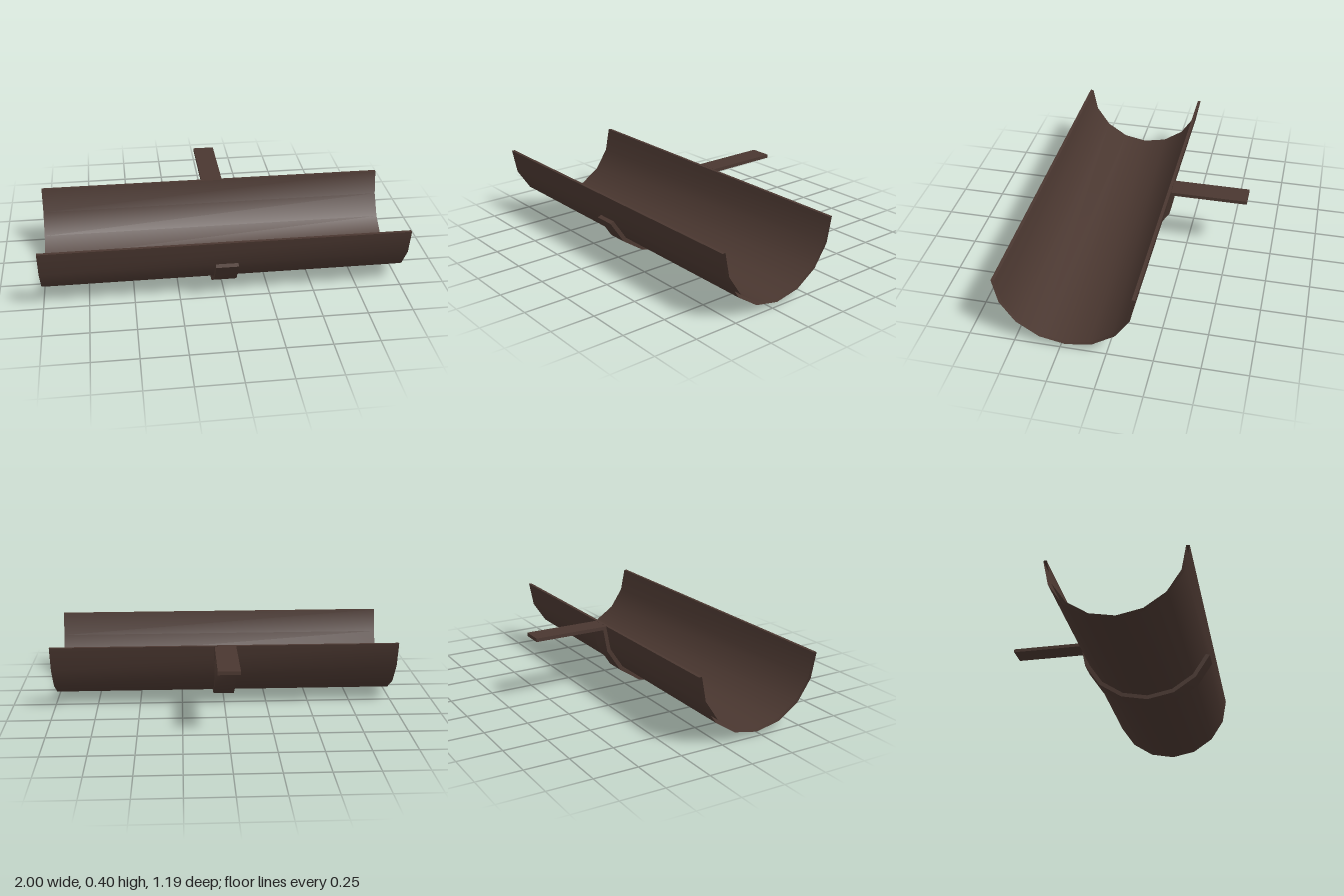
import * as THREE from 'three';
import { toCreasedNormals } from 'three/addons/utils/BufferGeometryUtils.js';

const CZ = 0.218, CY = 0.4; // axis of the half-round trough
const STEPS = 8;

// Points [z, y] on the lower half circle, from the front rim (0) to the back rim (STEPS)
function arc(r, from, to) {
  const points = [];
  const dir = Math.sign(to - from);
  for (let i = from; i !== to + dir; i += dir) {
    const a = (i / STEPS) * Math.PI;
    points.push(new THREE.Vector2(CZ + r * Math.cos(a), CY - r * Math.sin(a)));
  }
  return points;
}

// Sweeps a side profile (z, y) along x, centred; optionally leaves the ends open
function sweep(points, width, openEnds) {
  let geometry = new THREE.ExtrudeGeometry(new THREE.Shape(points), { depth: width, bevelEnabled: false });
  if (openEnds) {
    const { start, count } = geometry.groups[1];
    const walls = geometry.attributes.position.array.slice(start * 3, (start + count) * 3);
    geometry = new THREE.BufferGeometry();
    geometry.setAttribute('position', new THREE.BufferAttribute(walls, 3));
  }
  geometry.clearGroups();
  geometry.translate(0, 0, -width / 2);
  geometry.rotateY(-Math.PI / 2);
  return toCreasedNormals(geometry, Math.PI / 5);
}

export function createModel() {
  const group = new THREE.Group();
  group.name = 'roofGutter';
  const brown = new THREE.MeshStandardMaterial({ color: 0x4a3730, side: THREE.DoubleSide });
  brown.name = 'darkBrown';

  // Half-round trough with narrow rims and open ends
  const trough = new THREE.Mesh(sweep([...arc(0.375, 0, STEPS), ...arc(0.357, STEPS, 0)], 2, true), brown);
  trough.name = 'trough';

  // Strap hugging the underside, bent into a flat arm at the back
  const strapProfile = [
    ...arc(0.376, 1, STEPS),
    new THREE.Vector2(-0.595, 0.4),
    new THREE.Vector2(-0.595, 0.38),
    new THREE.Vector2(CZ - 0.395, 0.38),
    ...arc(0.4, STEPS - 1, 1),
  ];
  const bracket = new THREE.Mesh(sweep(strapProfile, 0.123, false), brown);
  bracket.name = 'bracket';

  group.add(trough, bracket);
  return group;
}
